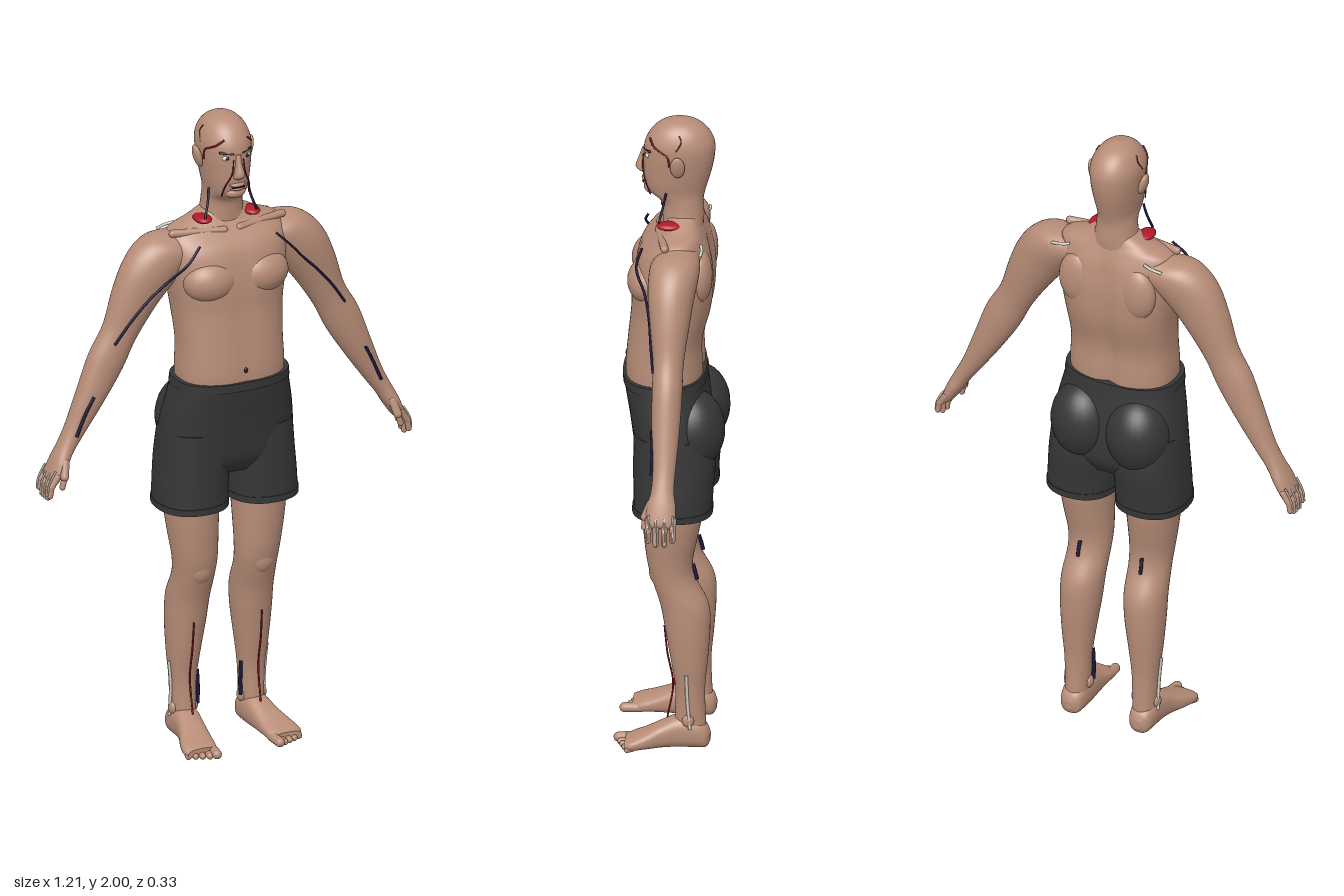
import * as THREE from 'three';

const mat = (name, color) => new THREE.MeshStandardMaterial({ name, color });
const skin = mat('skin', 0xb88d78), cloth = mat('charcoal cloth', 0x363636), muscle = mat('muscle red', 0xb01828),
  artery = mat('artery red', 0x7c1418), vein = mat('vein navy', 0x1c1638), tendon = mat('tendon ivory', 0xd6d0c4),
  eyeWhite = mat('eye white', 0xe4e2dc), dark = mat('brow dark', 0x2a1c18);
const X = new THREE.Vector3(1, 0, 0), Y = new THREE.Vector3(0, 1, 0), Z = new THREE.Vector3(0, 0, 1);
const V = (p) => new THREE.Vector3(...p);

// Smooth closed body through superelliptic sections [x, y, z, halfU, halfV]
function loft(rows, u, v, n = 2, shape = null, seg = 40) {
  const centres = new THREE.CatmullRomCurve3(rows.map(r => V(r.slice(0, 3))), false, 'catmullrom', 0.5);
  const sizes = new THREE.CatmullRomCurve3(rows.map(r => new THREE.Vector3(r[3], r[4], 0)), false, 'catmullrom', 0.5);
  const steps = (rows.length - 1) * 5, pos = [], idx = [];
  const ring = (t, k) => {
    const c = centres.getPoint(t), s = sizes.getPoint(t);
    for (let i = 0; i < seg; i++) {
      const a = i / seg * Math.PI * 2, ca = Math.cos(a), sa = Math.sin(a);
      const p = c.clone()
        .addScaledVector(u, k * Math.max(s.x, 0) * Math.sign(ca) * Math.abs(ca) ** (2 / n))
        .addScaledVector(v, k * Math.max(s.y, 0) * Math.sign(sa) * Math.abs(sa) ** (2 / n));
      if (shape) shape(p);
      pos.push(p.x, p.y, p.z);
    }
  };
  ring(0, 0); ring(0, 1);
  for (let j = 0; j <= steps; j++) ring(j / steps, 1);
  ring(1, 1); ring(1, 0);
  const along = centres.getPoint(1).sub(centres.getPoint(0));
  const flip = u.clone().cross(v).dot(along) < 0;
  for (let j = 0; j < steps + 4; j++) for (let i = 0; i < seg; i++) {
    const a = j * seg + i, b = j * seg + (i + 1) % seg, c = a + seg, d = b + seg;
    if (flip) idx.push(a, c, b, b, c, d); else idx.push(a, b, c, b, d, c);
  }
  const g = new THREE.BufferGeometry();
  g.setAttribute('position', new THREE.Float32BufferAttribute(pos, 3));
  g.setIndex(idx);
  g.computeVertexNormals();
  return g;
}

export function createModel() {
  const root = new THREE.Group();
  root.name = 'anatomicalMan';
  const add = (name, geo, material) => {
    const m = new THREE.Mesh(geo, material);
    m.name = name;
    root.add(m);
    return m;
  };
  const ball = (name, c, r, material = skin) => {
    const m = add(name, new THREE.SphereGeometry(1, 28, 20), material);
    m.position.set(...c);
    m.scale.set(...r);
    return m;
  };
  const capsule = (name, a, b, r, material = skin) => {
    const p = V(a), d = V(b).sub(p), m = add(name, new THREE.CapsuleGeometry(r, d.length(), 5, 12), material);
    m.position.copy(p).addScaledVector(d, 0.5);
    m.quaternion.setFromUnitVectors(Y, d.normalize());
    return m;
  };
  const cord = (name, pts, r, material) =>
    add(name, new THREE.TubeGeometry(new THREE.CatmullRomCurve3(pts.map(V)), 28, r, 6), material);

  // Torso with a spine groove behind and a shallow midline in front
  add('torso', loft([
    [0, 1.1, .015, .16, .11], [0, 1.2, .017, .166, .117], [0, 1.3, .014, .163, .113], [0, 1.4, -.003, .17, .12],
    [0, 1.47, -.008, .18, .123], [0, 1.54, -.012, .188, .118], [0, 1.6, -.016, .188, .102],
    [0, 1.645, -.028, .178, .072], [0, 1.67, -.034, .12, .056], [0, 1.7, -.036, .06, .045],
  ], X, Z, 2.5, p => {
    const fade = THREE.MathUtils.smoothstep(1.66 - p.y, 0, .1);
    p.z += fade * Math.exp(-((p.x / .025) ** 2)) * (p.z < 0 ? .016 : -.004);
  }, 64), skin);
  ball('navel', [0, 1.225, .132], [.006, .009, .004], dark);

  // Head and neck
  add('headAndNeck', loft([
    [0, 1.65, -.036, .085, .06], [0, 1.69, -.036, .066, .062], [0, 1.735, -.032, .06, .064],
    [0, 1.765, -.017, .06, .084], [0, 1.8, -.016, .066, .095], [0, 1.84, -.02, .072, .102], [0, 1.885, -.024, .077, .106],
    [0, 1.925, -.026, .077, .103], [0, 1.962, -.027, .064, .083], [0, 1.988, -.027, .039, .05], [0, 2, -.027, .002, .002],
  ], X, Z, 2.1), skin);
  ball('chin', [0, 1.773, .054], [.034, .02, .027]);
  ball('upperLip', [0, 1.802, .07], [.026, .008, .018]);
  ball('lowerLip', [0, 1.788, .067], [.023, .007, .018]);
  add('mouthLine', new THREE.BoxGeometry(.04, .003, .006), dark).position.set(0, 1.795, .082);
  add('nose', loft([[0, 1.9, .074, .009, .012], [0, 1.87, .082, .01, .014], [0, 1.84, .088, .016, .018],
    [0, 1.828, .084, .017, .015], [0, 1.82, .078, .008, .008]], X, Z), skin);

  // Shorts
  add('shortsHips', loft([[0, 1.185, .018, .176, .122], [0, 1.14, .012, .185, .122], [0, 1.07, 0, .2, .122],
    [0, 1, -.01, .209, .122], [0, .93, -.016, .211, .117], [0, .88, -.016, .205, .09]], X, Z, 2.5), cloth);
  add('waistband', loft([[0, 1.163, .016, .183, .125], [0, 1.189, .018, .18, .124]], X, Z, 2.5), cloth);

  for (const s of [1, -1]) {
    const side = s > 0 ? 'left' : 'right';
    const m = (rows) => rows.map(([x, ...r]) => [x * s, ...r]);
    const c = (part) => side + part;
    // Chest, collarbone and shoulder blade
    ball(c('Pectoral'), [s * .083, 1.505, .06], [.087, .068, .064]);
    capsule(c('Collarbone'), [s * .025, 1.645, .035], [s * .18, 1.65, .005], .012);
    ball(c('ShoulderBlade'), [s * .1, 1.53, -.095], [.06, .085, .036]);
    ball(c('NeckMuscle'), [s * .08, 1.68, 0], [.026, .012, .038], muscle);

    // Face
    ball(c('Ear'), [s * .084, 1.872, -.025], [.012, .037, .022]).rotation.z = -s * .25;
    ball(c('Eye'), [s * .032, 1.889, .066], [.014, .008, .009], eyeWhite);
    ball(c('Iris'), [s * .032, 1.889, .072], [.006, .006, .005], dark);
    capsule(c('Brow'), [s * .016, 1.902, .077], [s * .05, 1.906, .06], .004, dark);
    cord(c('FaceArtery'), m([[.045, 1.765, .058], [.04, 1.8, .072], [.022, 1.84, .083], [.016, 1.885, .082]]), .002, artery);
    cord(c('TempleArtery'), m([[.036, 1.945, .061], [.058, 1.925, .046], [.075, 1.9, .006], [.076, 1.87, 0]]), .003, artery);
    cord(c('ScalpArtery'), m([[.077, 1.92, -.02], [.07, 1.95, -.035], [.062, 1.967, -.028]]), .002, artery);
    cord(c('NeckVein'), m([[.064, 1.78, .01], [.07, 1.74, .018], [.085, 1.69, .03]]), .004, vein);

    // Arm
    add(c('Arm'), loft(m([[.12, 1.615, -.035, .065, .055], [.17, 1.6, -.028, .084, .072], [.215, 1.57, -.024, .087, .074],
      [.258, 1.52, -.02, .083, .068], [.3, 1.45, -.02, .071, .058], [.345, 1.355, -.02, .056, .046],
      [.39, 1.27, -.02, .058, .045], [.44, 1.17, -.02, .046, .041], [.49, 1.075, -.02, .032, .034],
      [.523, 1.02, -.018, .026, .034], [.548, .975, -.016, .024, .043], [.572, .93, -.016, .017, .043],
      [.577, .92, -.016, .006, .034]]), new THREE.Vector3(.88 * s, .48, 0), Z, 2.1), skin);
    // Fingers with pale tendons along their outer side
    [[-.053, .89], [-.028, .876], [-.003, .874], [.02, .887]].forEach(([z, y], i) => {
      const mid = [s * .587, .915, z], tip = [s * (.592 - (i % 3) * .002), y, z];
      capsule(c('Finger' + i), [s * .567, .945, z], mid, .01);
      capsule(c('Fingertip' + i), mid, tip, .009);
      cord(c('FingerTendon' + i), m([[.573, .963, z], [.588, .938, z], [.5975, .914, z], [.6, y, z]]), .003, tendon);
    });
    capsule(c('ThumbBase'), [s * .54, .985, .015], [s * .55, .945, .032], .013);
    capsule(c('ThumbTip'), [s * .55, .945, .032], [s * .558, .915, .034], .009);
    cord(c('ArmVein'), m([[.125, 1.625, .077], [.17, 1.58, .09], [.225, 1.52, .06], [.28, 1.465, .043],
      [.335, 1.4, .033], [.38, 1.335, .023]]), .004, vein);
    cord(c('ForearmVein'), m([[.447, 1.18, .021], [.475, 1.125, .017], [.503, 1.06, .017]]), .005, vein);
    cord(c('ShoulderTendon'), m([[.125, 1.64, -.098], [.15, 1.635, -.103], [.185, 1.628, -.1]]), .005, tendon);

    // Buttock and trouser leg
    ball(c('Buttock'), [s * .092, 1.025, -.072], [.1, .125, .096], cloth);
    add(c('ShortsLeg'), loft(m([[.105, 1.02, -.012, .1, .115], [.107, .92, -.018, .107, .122],
      [.112, .84, -.016, .109, .119], [.115, .772, -.014, .109, .117]]), X, Z, 2.3), cloth);
    add(c('ShortsHem'), loft(m([[.115, .79, -.014, .111, .12], [.115, .77, -.014, .111, .12]]), X, Z, 2.3), cloth);

    // Leg
    add(c('Leg'), loft(m([[.112, .85, -.01, .086, .093], [.111, .76, -.012, .081, .09], [.108, .68, -.008, .075, .08],
      [.103, .6, -.005, .068, .068], [.102, .54, -.016, .064, .065], [.105, .46, -.048, .064, .072],
      [.108, .38, -.058, .061, .067], [.112, .28, -.063, .051, .055], [.113, .19, -.066, .041, .044],
      [.113, .1, -.066, .037, .046], [.114, .04, -.066, .037, .05]]), X, Z, 2.1), skin);
    ball(c('Kneecap'), [s * .102, .565, .028], [.04, .048, .03]);
    for (const dx of [-.035, .035]) ball(c('Ankle'), [s * (.113 + dx), .095, -.062], [.012, .02, .018]);

    // Foot
    add(c('Foot'), loft(m([[.115, .035, -.126, .012, .014], [.115, .038, -.113, .032, .036], [.115, .048, -.08, .04, .047],
      [.116, .05, -.03, .042, .049], [.122, .041, .015, .044, .04], [.132, .03, .06, .051, .029],
      [.139, .022, .1, .054, .021], [.141, .018, .125, .046, .014]]), X, Y, 2.5), skin);
    for (let i = 0; i < 5; i++) {
      const x = .1 + i * .0195, r = i ? .01 : .015;
      capsule(c('Toe' + i), [s * x, r + .003, .1], [s * (x + .004), r, .15 - i * .0085 - (i ? 0 : .002)], r);
    }

    // Lower leg vessels and tendons
    cord(c('ShinArtery'), m([[.112, .39, .011], [.113, .3, .002], [.113, .2, -.015], [.112, .09, .002]]), .003, artery);
    cord(c('ShinVein'), m([[.073, .21, -.05], [.07, .15, -.05], [.071, .1, -.05]]), .006, vein);
    cord(c('OuterAnkleTendon'), m([[.162, .25, -.058], [.155, .17, -.06], [.155, .07, -.068]]), .005, tendon);
    cord(c('KneeVein'), m([[.103, .59, -.073], [.105, .565, -.08], [.105, .54, -.086]]), .006, vein);
  }
  return root;
}
